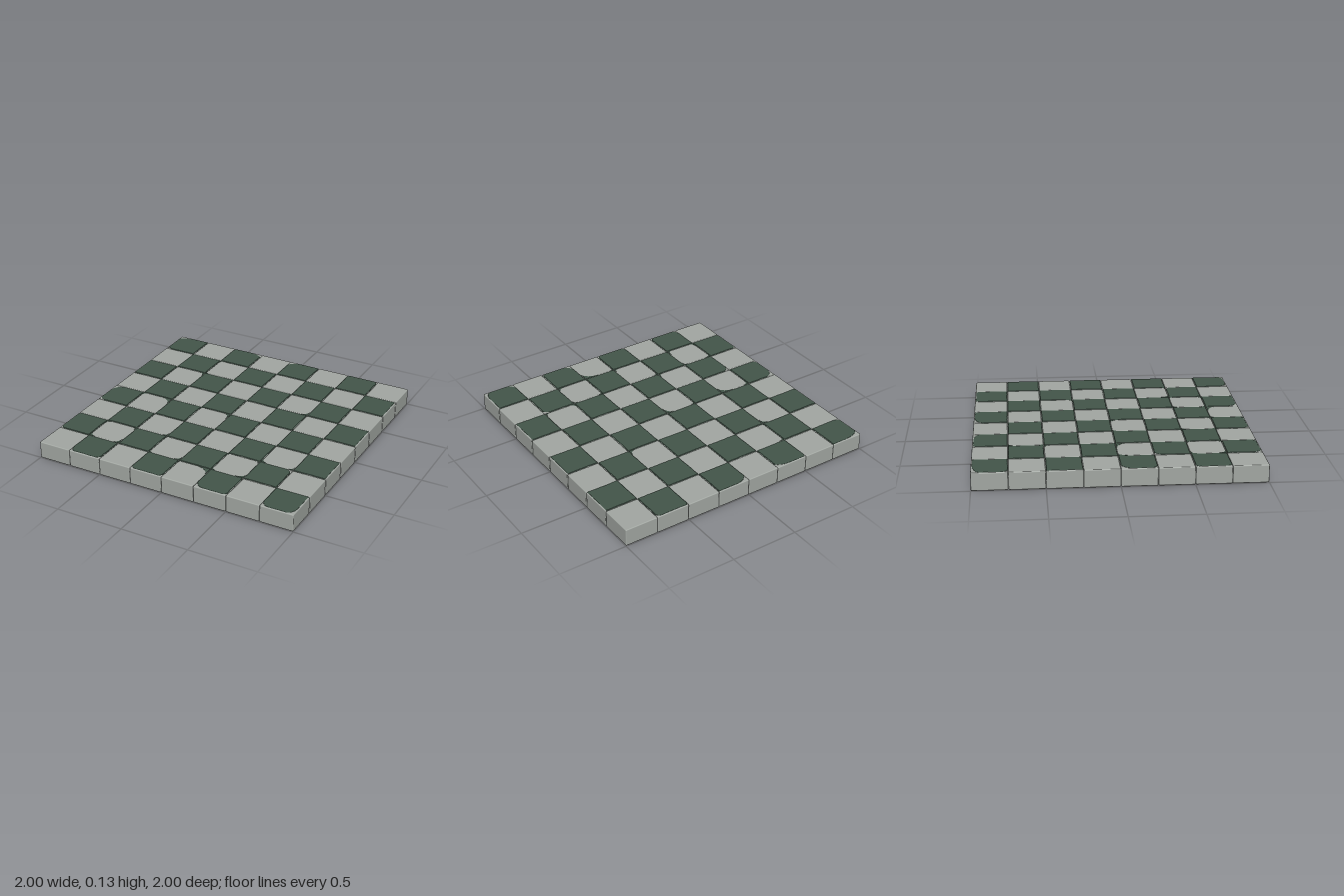
import * as THREE from 'three';
import { RoundedBoxGeometry } from 'three/addons/geometries/RoundedBoxGeometry.js';

const N = 8, PITCH = 0.25, HEIGHT = 0.128, TILE = 0.2475;

// Corners in order: back-left, front-left, front-right, back-right
const CORNERS = [[-1, 1], [-1, -1], [1, -1], [1, 1]];

// Worn paint corners on dark tiles: 'column,row': four [x length, z length]
const CHIPS = {
  '0,0': [[0.13, 0.05], [0.04, 0.04], 0, 0],
  '2,0': [[0.02, 0.03], 0, 0, [0.11, 0.04]],
  '4,0': [[0.1, 0.06], 0, 0, 0],
  '6,0': [[0.02, 0.03], 0, 0, [0.03, 0.03]],
  '0,4': [[0.07, 0.08], [0.05, 0.04], 0, 0],
  '1,5': [[0.05, 0.05], 0, 0, 0],
  '0,6': [[0.03, 0.03], [0.03, 0.03], 0, 0],
  '6,6': [0, 0, 0, [0.05, 0.04]],
  '1,7': [0, [0.04, 0.06], [0.03, 0.04], 0],
  '3,7': [0, [0.04, 0.04], [0.02, 0.04], 0],
  '5,7': [0, [0.07, 0.07], [0.03, 0.03], 0],
  '7,7': [0, [0.06, 0.06], [0.05, 0.08], 0],
};

// Paint spilled over corners of light tiles
const SPILLS = {
  '2,1': [[0.04, 0.03], [0.02, 0.03], 0, 0],
  '1,2': [0, 0, 0, [0.04, 0.05]],
  '5,2': [0, 0, [0.05, 0.05], 0],
  '1,4': [[0.04, 0.06], 0, 0, [0.1, 0.07]],
  '3,4': [[0.03, 0.03], 0, 0, [0.05, 0.07]],
  '2,5': [0, 0, [0.03, 0.04], 0],
  '6,5': [0, [0.04, 0.06], [0.03, 0.04], 0],
  '1,6': [[0.04, 0.04], [0.05, 0.05], [0.04, 0.06], [0.03, 0.03]],
  '3,6': [[0.03, 0.03], [0.02, 0.03], [0.04, 0.04], 0],
  '5,6': [[0.03, 0.03], [0.03, 0.03], [0.06, 0.04], [0.03, 0.03]],
  '4,7': [[0.02, 0.02], 0, 0, [0.11, 0.07]],
};

function seeded(seed) {
  return () => (seed = (seed * 16807) % 2147483647) / 2147483647;
}

// Wobbly outline of a painted face; lim holds its min and max on both axes
function paintOutline(lim, chips, rand) {
  const pts = [];
  const ends = CORNERS.map(([sx, sy], k) => {
    const [a, b] = chips[k] || [0.008, 0.008];
    const x = sx < 0 ? lim.x0 : lim.x1, y = sy < 0 ? lim.y0 : lim.y1;
    const alongX = new THREE.Vector2(x - sx * a, y);
    const alongY = new THREE.Vector2(x, y - sy * b);
    const mid = new THREE.Vector2(x - sx * a * 0.15, y - sy * b * 0.15);
    return k % 2 ? [alongY, mid, alongX] : [alongX, mid, alongY];
  });
  ends.forEach(([p, m, q], k) => {
    pts.push(...new THREE.QuadraticBezierCurve(p, m, q).getPoints(4));
    const next = ends[(k + 1) % 4][0];
    for (let i = 1; i < 7; i++) {
      const v = q.clone().lerp(next, i / 7);
      pts.push(v.multiplyScalar(1 - rand() * 0.022));
    }
  });
  return new THREE.Shape(pts);
}

// Thin plate lying flat with its top at the given height
function plate(shape, top, depth, bevel) {
  const geo = new THREE.ExtrudeGeometry(shape, {
    depth, bevelEnabled: bevel > 0, bevelSize: bevel, bevelOffset: -bevel,
    bevelThickness: bevel, bevelSegments: 1, curveSegments: 6,
  });
  return geo.rotateX(-Math.PI / 2).translate(0, top - depth - bevel, 0);
}

export function createModel() {
  const board = new THREE.Group();
  board.name = 'checkeredBoard';
  const stone = new THREE.MeshStandardMaterial({ color: 0xa2a7a2 });
  stone.name = 'paleStone';
  const paint = new THREE.MeshStandardMaterial({ color: 0x43564a });
  paint.name = 'darkGreen';
  const rand = seeded(71);

  const add = (geo, mat, name, x = 0, y = 0, z = 0) => {
    const mesh = new THREE.Mesh(geo, mat);
    mesh.name = name;
    mesh.position.set(x, y, z);
    board.add(mesh);
  };

  // Core closing the grooves between the tiles
  add(new THREE.BoxGeometry(1.98, HEIGHT - 0.016, 1.98), stone, 'core', 0, HEIGHT / 2, 0);

  const tileGeo = new RoundedBoxGeometry(TILE, HEIGHT, TILE, 2, 0.007);
  for (let j = 0; j < N; j++) {
    for (let i = 0; i < N; i++) {
      const x = (i - 3.5) * PITCH, z = (j - 3.5) * PITCH, key = `${i},${j}`;
      add(tileGeo, stone, 'tile', x, HEIGHT / 2, z);

      if ((i + j) % 2 === 0) {
        // Painted top, kept a little inside the board's outer edge
        const inner = 0.1245, outer = 0.119;
        const lim = {
          x0: i === 0 ? -outer : -inner, x1: i === N - 1 ? outer : inner,
          y0: j === N - 1 ? -outer : -inner, y1: j === 0 ? outer : inner,
        };
        const shape = paintOutline(lim, CHIPS[key] || [], rand);
        add(plate(shape, HEIGHT + 0.001, 0.002, 0.003), paint, 'paintedTop', x, 0, z);
      } else {
        // Paint spilled over the corners
        (SPILLS[key] || []).forEach((size, k) => {
          if (!size) return;
          const [sx, sy] = CORNERS[k], cx = sx * 0.122, cy = sy * 0.122;
          const s = new THREE.Shape();
          s.moveTo(cx, cy);
          s.lineTo(cx - sx * size[0], cy);
          s.quadraticCurveTo(cx - sx * size[0] * 0.15, cy - sy * size[1] * 0.15,
            cx, cy - sy * size[1]);
          s.closePath();
          add(plate(s, HEIGHT + 0.0008, 0.005, 0), paint, 'paintSpill', x, 0, z);
        });
      }
    }
  }
  return board;
}
